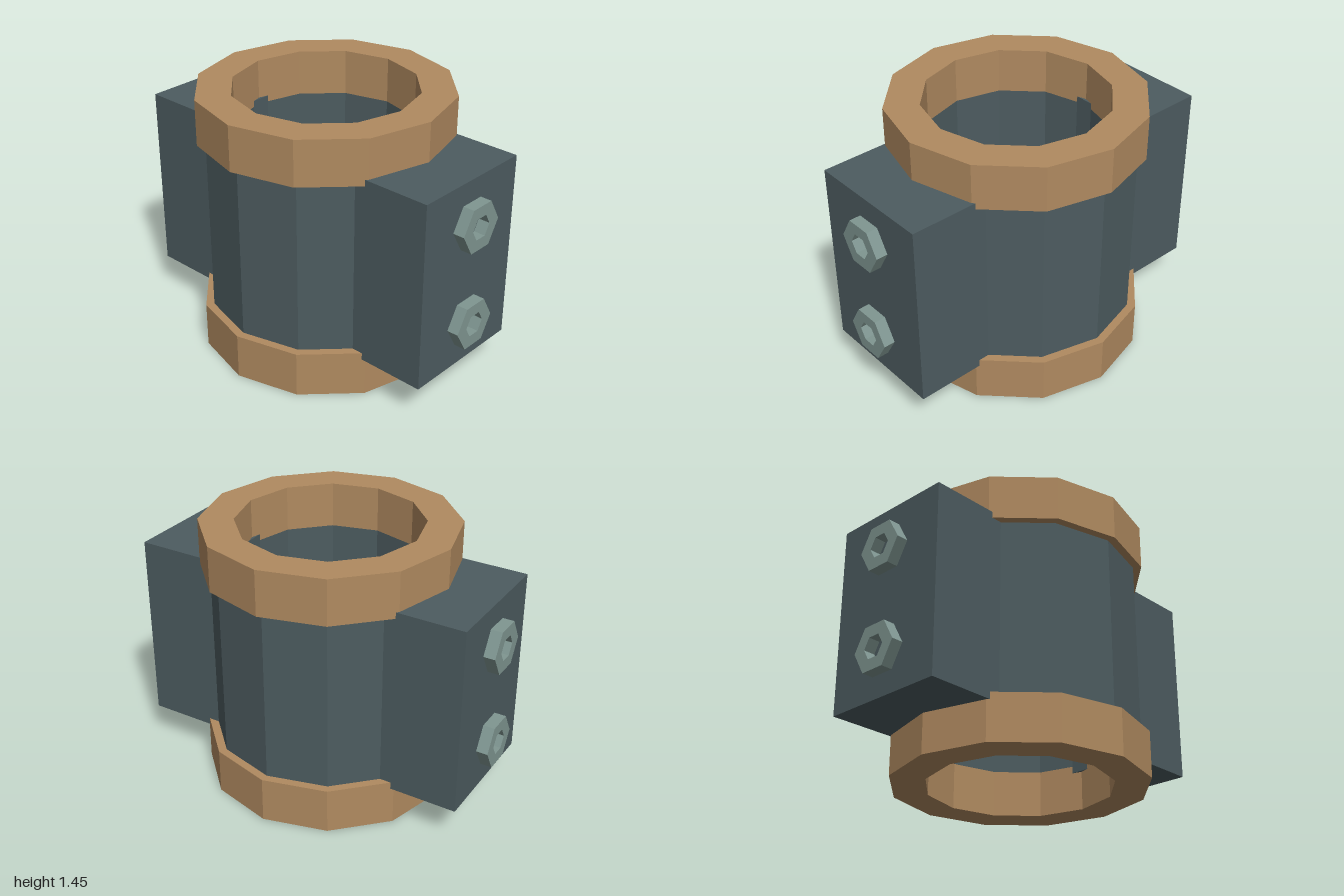
import * as THREE from 'three';

const mat = (name, color) => {
  const m = new THREE.MeshStandardMaterial({ color });
  m.name = name;
  return m;
};

// regular polygon with a matching polygonal hole, extruded along +z
function polygonRing(sides, outer, inner, depth) {
  const points = (r) => Array.from({ length: sides }, (_, i) => {
    const a = (i / sides) * Math.PI * 2;
    return new THREE.Vector2(Math.cos(a) * r, Math.sin(a) * r);
  });
  const shape = new THREE.Shape(points(outer));
  shape.holes.push(new THREE.Path(points(inner)));
  return new THREE.ExtrudeGeometry(shape, { depth, bevelEnabled: false });
}

export function createModel() {
  const model = new THREE.Group();
  const bronze = mat('bronze', 0xb08a60);
  const slate = mat('slate', 0x4d5c60);
  const steel = mat('steel', 0x7f9691);

  const add = (name, geometry, material, x, y, z) => {
    const mesh = new THREE.Mesh(geometry, material);
    mesh.name = name;
    mesh.position.set(x, y, z);
    model.add(mesh);
    return mesh;
  };

  // upright twelve-sided sleeve between two heights
  const sleeve = (name, outer, inner, y0, y1, material) => {
    const geometry = polygonRing(12, outer, inner, y1 - y0).rotateX(-Math.PI / 2);
    add(name, geometry, material, 0, y0, 0);
  };
  sleeve('bottomCollar', 0.675, 0.49, 0, 0.25, bronze);
  sleeve('barrel', 0.63, 0.49, 0.25, 1.2, slate);
  sleeve('topCollar', 0.675, 0.49, 1.2, 1.445, bronze);

  // side blocks reach just inside the bore; each carries two hex nuts
  const blockGeometry = new THREE.BoxGeometry(0.462, 1.022, 0.7);
  const nutGeometry = polygonRing(6, 0.136, 0.065, 0.062);
  for (const [side, s] of [['left', 1], ['right', -1]]) {
    add(side + 'Block', blockGeometry, slate, s * 0.707, 0.723, 0);
    [['Lower', 0.45], ['Upper', 0.998]].forEach(([level, y]) => {
      const nut = add(side + level + 'Nut', nutGeometry, steel, s * 0.938, y, 0);
      nut.rotation.y = s * Math.PI / 2;
    });
  }
  return model;
}
